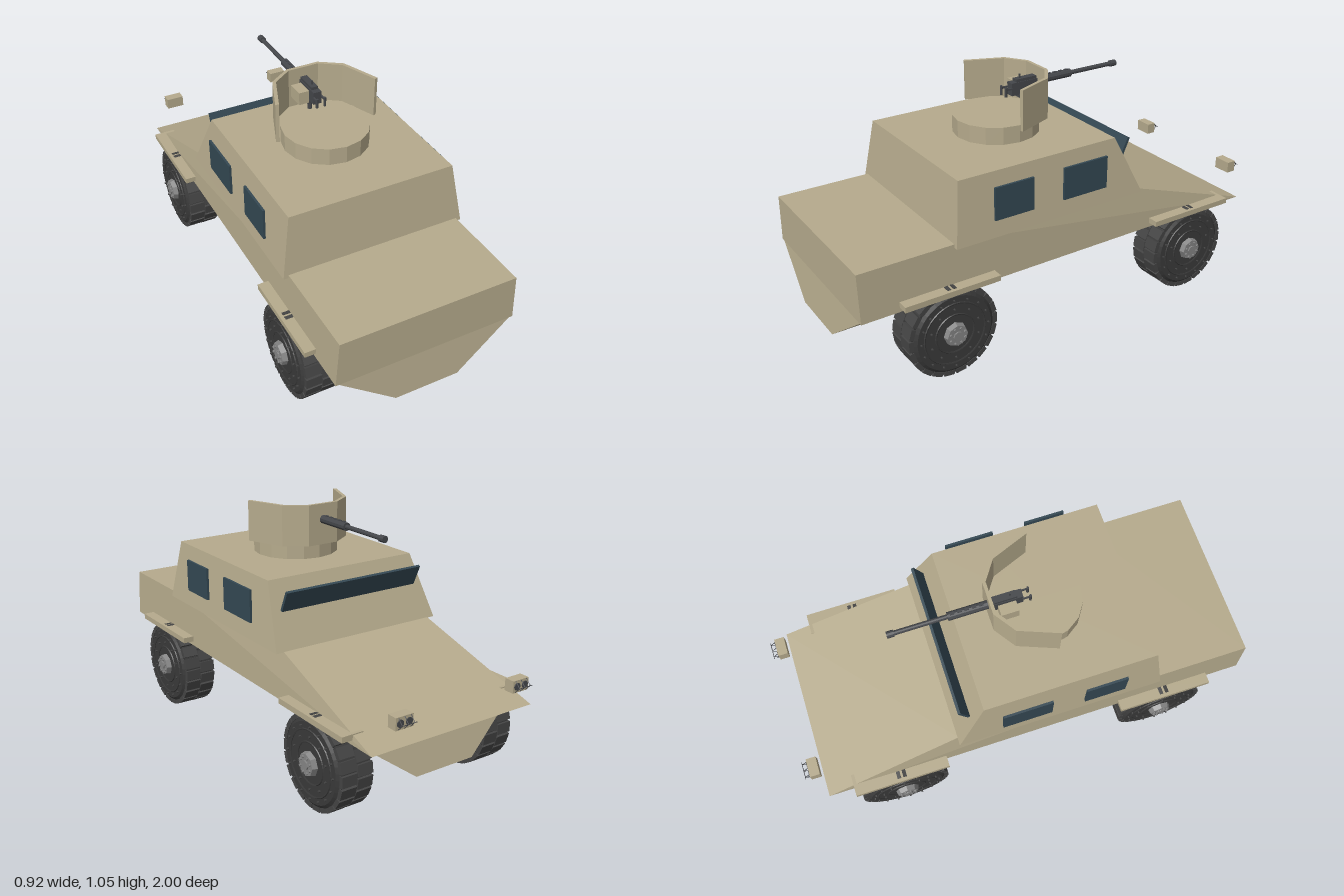
import * as THREE from 'three';
import { ConvexGeometry } from 'three/addons/geometries/ConvexGeometry.js';

const paint = (color) => new THREE.MeshStandardMaterial({ color, flatShading: true });
const TAN = paint(0xb5aa8c), RUBBER = paint(0x3a3a3a), LUG = paint(0x444444);
const STEEL = paint(0x858585), GUN = paint(0x45474b), GLASS = paint(0x344853);

function add(parent, name, geometry, material, x = 0, y = 0, z = 0) {
  const mesh = new THREE.Mesh(geometry, material);
  mesh.name = name;
  mesh.position.set(x, y, z);
  parent.add(mesh);
  return mesh;
}
const box = (w, h, d) => new THREE.BoxGeometry(w, h, d);
// Cylinders lying along x or along z
const cylX = (r, len, n = 24, r2 = r) => new THREE.CylinderGeometry(r2, r, len, n).rotateZ(-Math.PI / 2);
const cylZ = (r, len, n = 10) => new THREE.CylinderGeometry(r, r, len, n).rotateX(Math.PI / 2);
// Solid through mirrored [halfWidth, y, z] corners
const mirroredSolid = (corners) => new ConvexGeometry(
  corners.flatMap(([x, y, z]) => [new THREE.Vector3(x, y, z), new THREE.Vector3(-x, y, z)]));

// Wheel with its outer face towards +x, centred on the axle
function makeWheel() {
  const wheel = new THREE.Group();
  add(wheel, 'tyre', cylX(0.188, 0.134, 40), RUBBER);
  add(wheel, 'outerSidewall', cylX(0.18, 0.012, 40, 0.165), RUBBER, 0.072);
  add(wheel, 'innerSidewall', cylX(0.165, 0.01, 40, 0.18), RUBBER, -0.07);
  // Two staggered rows of tread lugs
  const count = 22;
  for (let row = 0; row < 2; row++) {
    for (let i = 0; i < count; i++) {
      const a = ((i + row * 0.5) / count) * Math.PI * 2;
      const lug = add(wheel, 'treadLug', box(0.069, 0.02, 0.046), LUG,
        row ? 0.036 : -0.036, Math.cos(a) * 0.187, Math.sin(a) * 0.187);
      lug.rotation.x = a;
    }
  }
  // Rim rings, bolts and hub
  for (const r of [0.135, 0.085]) {
    add(wheel, 'rimRing', new THREE.TorusGeometry(r, 0.004, 5, 36).rotateY(Math.PI / 2), RUBBER, 0.078);
  }
  for (const [r, n] of [[0.15, 16], [0.11, 10]]) {
    for (let i = 0; i < n; i++) {
      const a = (i / n) * Math.PI * 2;
      add(wheel, 'rimBolt', cylX(0.004, 0.012, 6), LUG, 0.08, Math.cos(a) * r, Math.sin(a) * r);
    }
  }
  add(wheel, 'hub', cylX(0.052, 0.024, 8, 0.046), STEEL, 0.088);
  add(wheel, 'hubCap', cylX(0.02, 0.012, 8), STEEL, 0.1);
  for (let i = 0; i < 8; i++) {
    const a = ((i + 0.5) / 8) * Math.PI * 2;
    add(wheel, 'hubBolt', cylX(0.005, 0.01, 6), STEEL, 0.102, Math.cos(a) * 0.034, Math.sin(a) * 0.034);
  }
  return wheel;
}

// Headlight body with lamps and bent wire guard towards -z
function makeHeadlight() {
  const light = new THREE.Group();
  add(light, 'headlightBody', box(0.08, 0.05, 0.043), TAN);
  for (const x of [-0.02, 0.02]) add(light, 'lamp', cylZ(0.015, 0.006, 12), GUN, x, 0, -0.022);
  const wire = (name, a, b) => add(light, name, new THREE.TubeGeometry(
    new THREE.LineCurve3(new THREE.Vector3(...a), new THREE.Vector3(...b)), 1, 0.0015, 5), GUN);
  for (const x of [-0.028, 0, 0.028]) {
    for (const y of [-0.024, 0.024]) wire('guardWire', [x, y, -0.02], [x, 0, -0.044]);
  }
  wire('guardBar', [-0.038, 0, -0.044], [0.038, 0, -0.044]);
  return light;
}

// Machine gun pointing to -z
function makeGun() {
  const gun = new THREE.Group();
  add(gun, 'mountPost', new THREE.CylinderGeometry(0.01, 0.01, 0.07, 10), GUN, 0, 0.915, 0);
  add(gun, 'cradle', box(0.056, 0.016, 0.07), GUN, 0, 0.938, 0);
  add(gun, 'receiver', box(0.036, 0.055, 0.14), GUN, 0, 0.97, 0);
  add(gun, 'topCover', box(0.03, 0.014, 0.1), GUN, 0, 1.003, -0.005);
  add(gun, 'rearSight', box(0.007, 0.022, 0.007), GUN, 0, 1.016, 0.02);
  add(gun, 'barrelJacket', cylZ(0.018, 0.18, 10), GUN, 0, 0.983, -0.15);
  for (let i = 0; i < 5; i++) add(gun, 'jacketRib', box(0.01, 0.004, 0.018), GUN, 0, 1.001, -0.1 - i * 0.03);
  add(gun, 'barrel', cylZ(0.01, 0.25, 10), GUN, 0, 0.983, -0.345);
  add(gun, 'muzzle', cylZ(0.0145, 0.03, 10), GUN, 0, 0.983, -0.475);
  for (const s of [-1, 1]) {
    add(gun, 'gripArm', box(0.006, 0.008, 0.04), GUN, s * 0.018, 0.975, 0.085);
    add(gun, 'grip', new THREE.CylinderGeometry(0.006, 0.006, 0.04, 8), GUN, s * 0.018, 0.965, 0.1);
  }
  add(gun, 'ammoBox', box(0.045, 0.056, 0.075), TAN, -0.045, 0.965, 0);
  return gun;
}

// Upright faceted shield wrapped round the front of the turret
function makeShield() {
  const outer = [[0.23, 0.155], [0.165, -0.01], [0.072, -0.073]];
  const inner = [[0.216, 0.16], [0.153, 0], [0.068, -0.059]];
  const flip = (pts) => pts.map(([x, z]) => [-x, z]).reverse();
  const plan = [...outer, ...flip(outer), ...inner.map(([x, z]) => [-x, z]), ...flip(inner).map(([x, z]) => [-x, z]).reverse()];
  // outline: outer right to left, then inner left to right
  const outline = [...plan.slice(0, 6), ...inner.map(([x, z]) => [-x, z]), ...inner.slice().reverse()];
  const shape = new THREE.Shape(outline.map(([x, z]) => new THREE.Vector2(x, -z)));
  return new THREE.ExtrudeGeometry(shape, { depth: 0.175, bevelEnabled: false }).rotateX(-Math.PI / 2);
}

export function createModel() {
  const model = new THREE.Group();
  model.name = 'armouredCar';

  // Body
  add(model, 'lowerHull', mirroredSolid([
    [0.385, 0.355, 0.978], [0.14, 0.175, 1], [0.385, 0.355, -0.83], [0.14, 0.175, -0.885]]), TAN);
  add(model, 'upperHull', mirroredSolid([
    [0.395, 0.353, 0.98], [0.383, 0.56, 0.98], [0.383, 0.56, 0.5],
    [0.37, 0.55, -0.33], [0.395, 0.353, -0.935]]), TAN);
  add(model, 'cabin', mirroredSolid([
    [0.405, 0.547, 0.573], [0.405, 0.547, -0.335], [0.363, 0.81, 0.537], [0.363, 0.81, -0.21]]), TAN);

  // Glass
  const windscreen = add(model, 'windscreen', box(0.676, 0.095, 0.012), GLASS, 0, 0.737, -0.287);
  windscreen.rotation.x = -0.42;
  for (const s of [-1, 1]) {
    add(model, 'rearSideWindow', box(0.01, 0.14, 0.18), GLASS, s * 0.402, 0.69, 0.31);
    add(model, 'frontSideWindow', box(0.01, 0.14, 0.215), GLASS, s * 0.402, 0.69, -0.033);
  }

  // Wheels, mudguards and headlights on both sides
  for (const s of [-1, 1]) {
    for (const z of [0.61, -0.61]) {
      const wheel = makeWheel();
      wheel.name = z > 0 ? 'rearWheel' : 'frontWheel';
      wheel.position.set(s * 0.355, 0.199, z);
      if (s < 0) wheel.rotation.y = Math.PI;
      model.add(wheel);
      add(model, 'mudguard', box(0.095, 0.024, 0.42), TAN, s * 0.3925, 0.383, z);
    }
    const light = makeHeadlight();
    light.name = 'headlight';
    light.position.set(s * 0.285, 0.475, -0.9545);
    model.add(light);
  }

  // Turret
  add(model, 'turretRing', new THREE.CylinderGeometry(0.185, 0.185, 0.077, 16), TAN, 0, 0.846, 0.14);
  add(model, 'gunShield', makeShield(), TAN, 0, 0.875, 0);
  const gun = makeGun();
  gun.name = 'machineGun';
  model.add(gun);
  return model;
}
